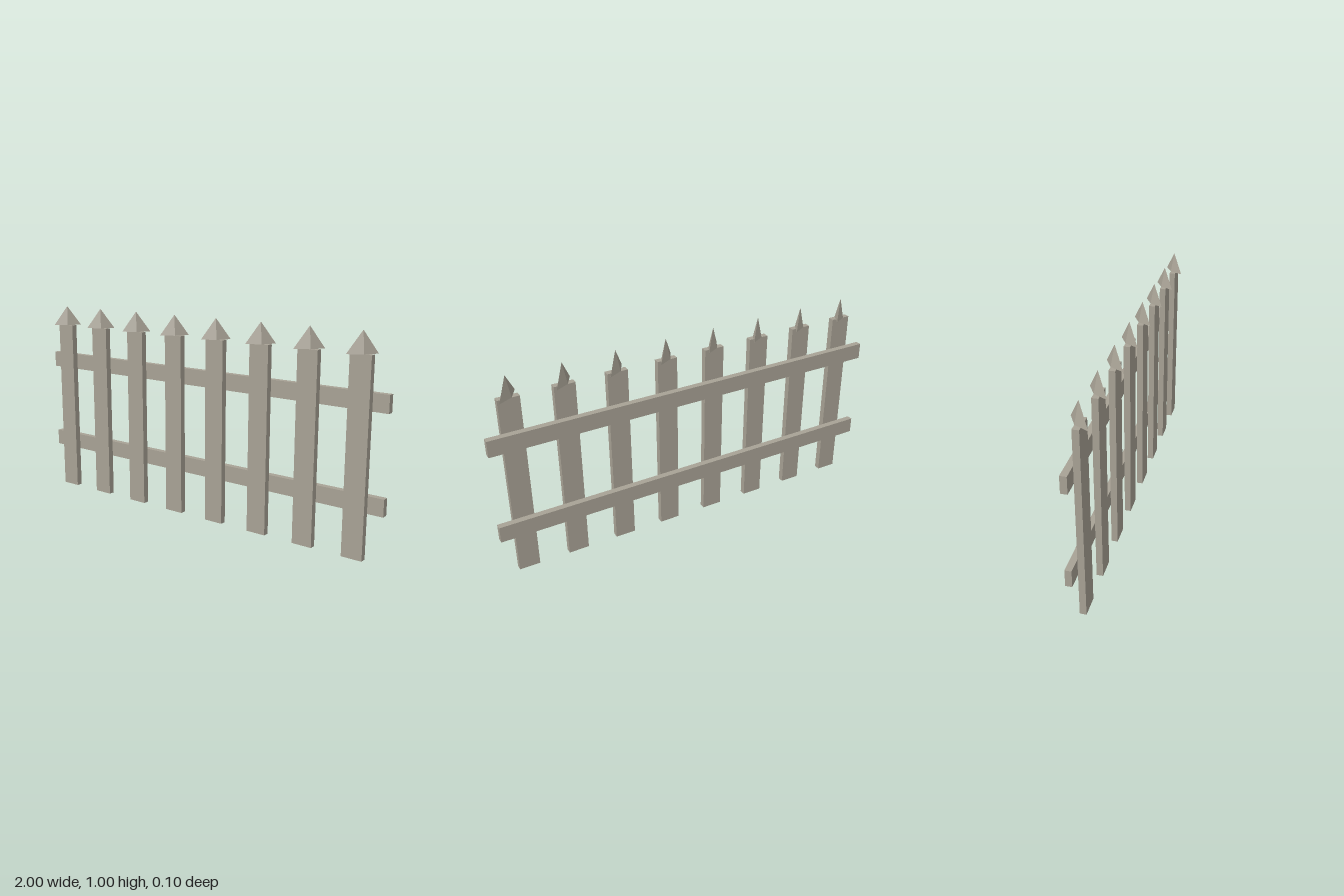
import * as THREE from 'three';

const weatheredWood = new THREE.MeshStandardMaterial({ color: 0xa8a295, flatShading: true });
weatheredWood.name = 'weatheredWood';

function addPart(parent, name, geometry, x, y, z) {
  const mesh = new THREE.Mesh(geometry, weatheredWood);
  mesh.name = name;
  mesh.position.set(x, y, z);
  parent.add(mesh);
  return mesh;
}

export function createModel() {
  const fence = new THREE.Group();
  fence.name = 'picketFence';

  const boardGeometry = new THREE.BoxGeometry(0.1, 0.9, 0.03);
  const railGeometry = new THREE.BoxGeometry(2, 0.08, 0.03);

  // Four-sided point, flattened and turned diagonally across the board
  const pointGeometry = new THREE.ConeGeometry(0.0707, 0.1, 4)
    .scale(1, 1, 0.3)
    .rotateY(Math.PI / 4);

  // Eight evenly spaced pickets
  for (let i = 0; i < 8; i++) {
    const picket = new THREE.Group();
    picket.name = `picket${i + 1}`;
    picket.position.x = -0.875 + i * 0.25;
    addPart(picket, 'board', boardGeometry, 0, 0.45, 0);
    addPart(picket, 'point', pointGeometry, 0, 0.95, 0);
    fence.add(picket);
  }

  // Two rails behind the pickets
  addPart(fence, 'lowerRail', railGeometry, 0, 0.25, -0.03);
  addPart(fence, 'upperRail', railGeometry, 0, 0.7, -0.03);

  return fence;
}
